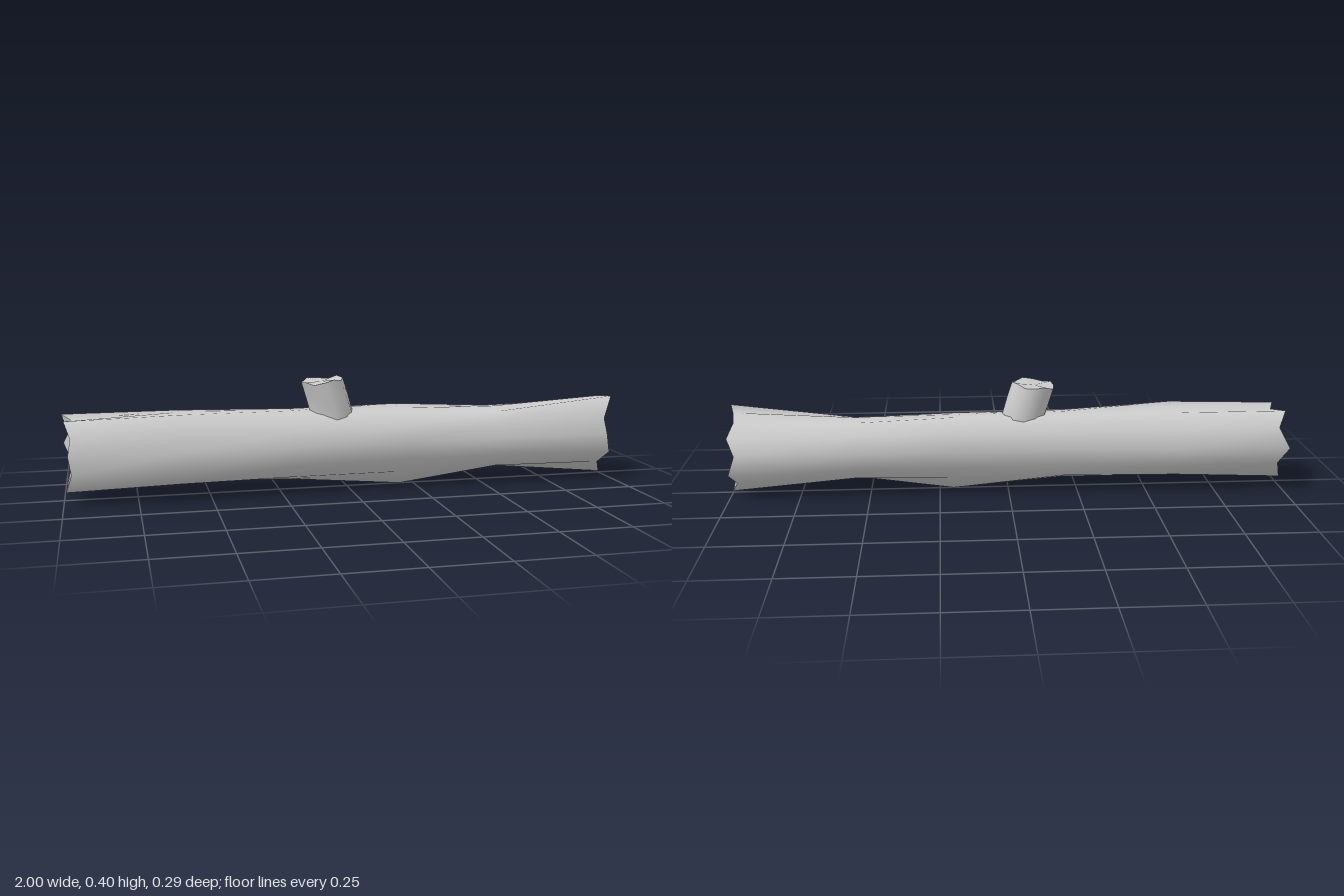
import * as THREE from 'three';

const SIDES = 12;

// Closed skin through rings of points, with smooth sides and sharp-edged caps.
function loft(rings, capStart, capEnd) {
  const pos = [], idx = [];
  const n = rings[0].length;
  rings.forEach(r => r.forEach(p => pos.push(p.x, p.y, p.z)));
  for (let k = 0; k < rings.length - 1; k++) {
    for (let i = 0; i < n; i++) {
      const a = k * n + i, b = k * n + (i + 1) % n;
      idx.push(a, b, a + n, b, b + n, a + n);
    }
  }
  const cap = (ring, centre, flip) => {
    const base = pos.length / 3;
    [...ring, centre].forEach(p => pos.push(p.x, p.y, p.z));
    for (let i = 0; i < n; i++) {
      const a = base + i, b = base + (i + 1) % n;
      if (flip) idx.push(base + n, b, a);
      else idx.push(base + n, a, b);
    }
  };
  cap(rings[0], capStart, true);
  cap(rings[rings.length - 1], capEnd, false);
  const g = new THREE.BufferGeometry();
  g.setAttribute('position', new THREE.Float32BufferAttribute(pos, 3));
  g.setIndex(idx);
  g.computeVertexNormals();
  return g;
}

export function createModel() {
  const group = new THREE.Group();
  const material = new THREE.MeshStandardMaterial({ color: 0xcccccc, side: THREE.DoubleSide });
  const add = (name, geometry) => {
    const mesh = new THREE.Mesh(geometry, material);
    mesh.name = name;
    group.add(mesh);
  };

  // Trunk: radii in 30 degree steps from the top towards the front
  const axisY = 0.18;
  const sections = [
    [-0.98, [.105, .13, .115, .11, .13, .15, .135, .15, .13, .148, .14, .135]],
    [-0.6, [.12, .14, .135, .135, .16, .14, .125, .135, .135, .135, .14, .135]],
    [-0.2, [.11, .115, .12, .13, .135, .135, .14, .13, .12, .11, .115, .125]],
    [0.2, [.105, .11, .115, .12, .125, .135, .175, .13, .125, .125, .13, .13]],
    [0.55, [.1, .1, .11, .12, .125, .13, .125, .125, .125, .125, .12, .11]],
    [0.98, [.125, .155, .105, .13, .14, .135, .17, .135, .14, .125, .12, .12]],
  ];
  // Splintered ends: shift of each corner along the trunk
  const jagStart = [.015, -.01, .01, 0, .01, -.01, 0, -.01, .01, -.02, .015, -.02];
  const jagEnd = [0, .02, -.01, -.015, 0, -.02, .02, -.01, .01, -.015, .01, -.01];
  const trunkRings = sections.map(([x, radii], k) => radii.map((r, i) => {
    const a = i / SIDES * Math.PI * 2;
    const jag = k === 0 ? jagStart[i] : k === sections.length - 1 ? jagEnd[i] : 0;
    return new THREE.Vector3(x + jag, axisY + r * Math.cos(a), r * Math.sin(a));
  }));
  add('trunk', loft(trunkRings,
    new THREE.Vector3(-0.96, axisY, 0), new THREE.Vector3(0.96, axisY, 0)));

  // Broken branch stub, leaning towards the trunk's right end
  const stubStations = [
    [-0.05, 0.22, 0.078], [-0.053, 0.28, 0.076], [-0.075, 0.345, 0.076], [-0.093, 0.396, 0.075],
  ];
  const stubRings = stubStations.map(([x, y, r], k) => Array.from({ length: SIDES }, (_, i) => {
    const a = i / SIDES * Math.PI * 2;
    const rr = r * (1 + 0.05 * Math.sin(3 * a + k));
    const chip = k === stubStations.length - 1 ? 0.006 * Math.sin(4 * a) : 0;
    return new THREE.Vector3(
      x + rr * Math.sin(a), y + 0.1 * rr * Math.sin(a) + chip, -0.005 + rr * Math.cos(a));
  }));
  add('branchStub', loft(stubRings,
    new THREE.Vector3(-0.05, 0.22, 0), new THREE.Vector3(-0.093, 0.392, -0.005)));

  return group;
}
